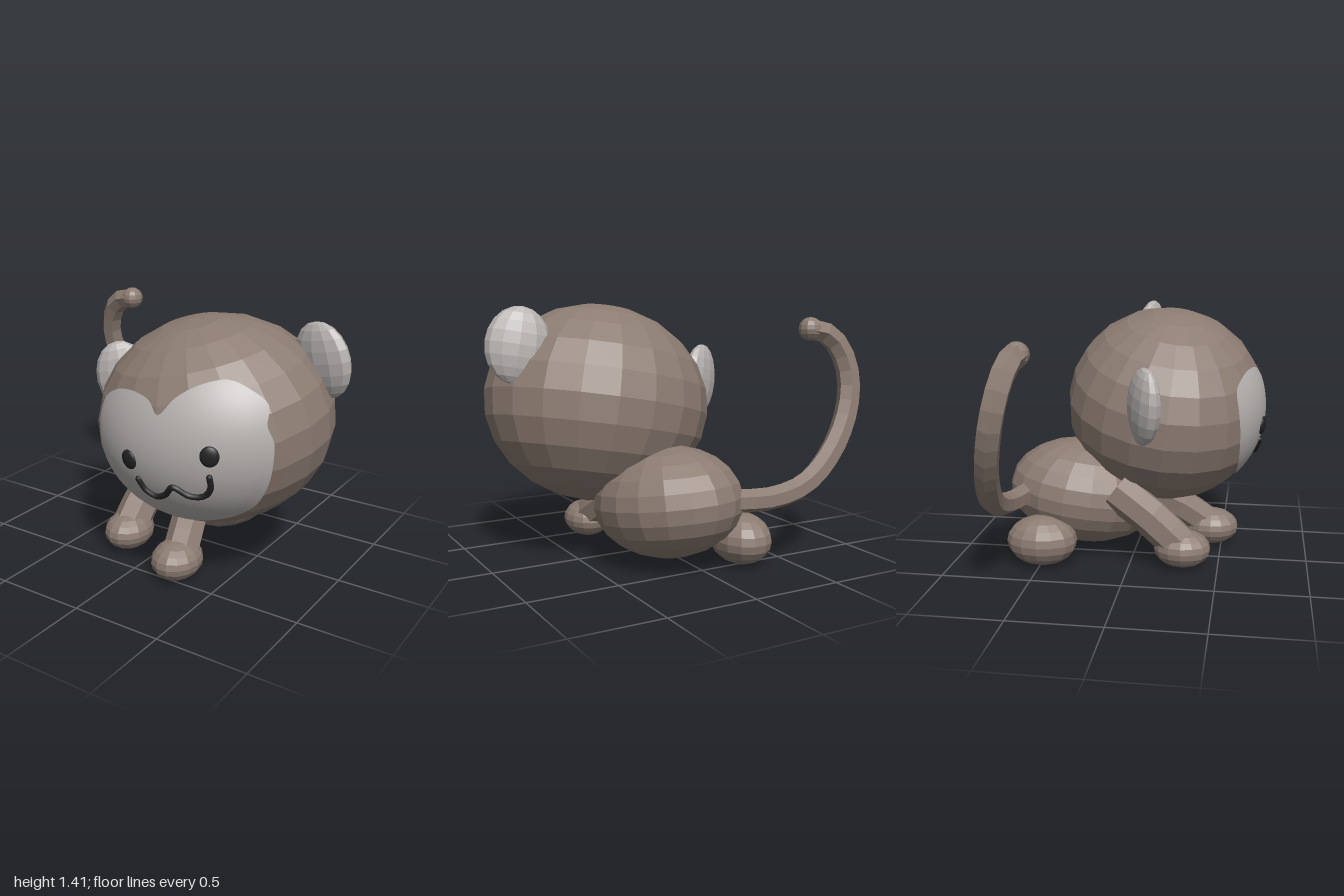
import * as THREE from 'three';

const material = (name, color) => {
  const m = new THREE.MeshStandardMaterial({ color });
  m.name = name;
  return m;
};

export function createModel() {
  const group = new THREE.Group();
  const fur = material('brown fur', 0x8c7c72);
  const skin = material('pale grey skin', 0xb4b0ae);
  const black = material('black', 0x222222);
  const rad = THREE.MathUtils.degToRad;
  const v = (p) => new THREE.Vector3(...p);

  // Faceted copy of a geometry
  const flat = (geometry) => {
    const g = geometry.toNonIndexed();
    g.computeVertexNormals();
    return g;
  };
  const add = (name, geometry, mat) => {
    const mesh = new THREE.Mesh(geometry, mat);
    mesh.name = name;
    group.add(mesh);
    return mesh;
  };
  // Faceted ellipsoid; rotation in degrees, applied roll, pitch, yaw
  const ball = (name, mat, pos, radii, rot = [0, 0, 0], w = 14, h = 10) => {
    const mesh = add(name, flat(new THREE.SphereGeometry(1, w, h).scale(...radii)), mat);
    mesh.position.set(...pos);
    mesh.rotation.set(rad(rot[0]), rad(rot[1]), rad(rot[2]), 'YXZ');
    return mesh;
  };
  const limb = (name, points, radius, steps, sides) =>
    add(name, flat(new THREE.TubeGeometry(new THREE.CatmullRomCurve3(points.map(v)), steps, radius, sides)), fur);

  // Head and body
  const headPos = [0.3, 0.848, 0.155];
  const headRadii = [0.65, 0.555, 0.585];
  const head = ball('head', fur, headPos, headRadii, [7, 6, 12], 20, 12);
  ball('body', fur, [0.1, 0.35, -0.3], [0.37, 0.305, 0.45], [9, 14, 0], 18, 12);

  // Ears
  ball('rightEar', skin, [-0.345, 0.95, 0.1], [0.16, 0.215, 0.07], [0, 32, 12], 12, 10);
  ball('leftEar', skin, [0.83, 1.203, -0.015], [0.172, 0.205, 0.075], [8, -12, 10], 12, 10);

  // Front legs and feet
  limb('leftFrontLeg', [[0.25, 0.12, 0.42], [0.2, 0.25, 0.25], [0.12, 0.36, 0.05]], 0.1, 4, 7);
  limb('rightFrontLeg', [[-0.18, 0.12, 0.3], [-0.18, 0.28, 0.13], [-0.15, 0.43, -0.08]], 0.11, 4, 7);
  ball('leftFrontFoot', fur, [0.245, 0.107, 0.44], [0.135, 0.107, 0.16]);
  ball('rightFrontFoot', fur, [-0.18, 0.112, 0.3], [0.133, 0.107, 0.16]);
  ball('rightBackFoot', fur, [-0.25, 0.145, -0.49], [0.157, 0.142, 0.2]);

  // Curled tail with a rounded tip
  limb('tail', [
    [-0.05, 0.39, -0.58], [-0.35, 0.39, -0.65], [-0.56, 0.455, -0.665], [-0.77, 0.63, -0.63],
    [-0.9, 0.84, -0.58], [-0.932, 1.02, -0.54], [-0.88, 1.18, -0.505], [-0.79, 1.255, -0.485], [-0.71, 1.27, -0.475],
  ], 0.064, 18, 6);
  ball('tailTip', fur, [-0.71, 1.27, -0.475], [0.066, 0.066, 0.066], [0, 0, 0], 10, 8);

  // Point on the front of the head, slightly enlarged by k, above (x, y)
  const inverse = new THREE.Matrix4().makeRotationFromEuler(head.rotation).transpose();
  const toUnit = (p, k) => p.applyMatrix4(inverse).divide(v(headRadii)).divideScalar(k);
  const onHead = (x, y, k = 1) => {
    const a = toUnit(new THREE.Vector3(x - headPos[0], y - headPos[1], 0), k);
    const d = toUnit(new THREE.Vector3(0, 0, 1), k);
    const A = d.lengthSq(), B = a.dot(d), C = a.lengthSq() - 1;
    const t = (-B + Math.sqrt(Math.max(0, B * B - A * C))) / A;
    return new THREE.Vector3(x, y, headPos[2] + t);
  };

  // Smooth heart-shaped face, built in rings that follow the head
  const outline = new THREE.CatmullRomCurve3([
    [-0.125, 0.81], [-0.125, 0.915], [-0.1, 1.005], [0.01, 1.075], [0.14, 1.095], [0.25, 1.075],
    [0.315, 1.02], [0.39, 1.11], [0.49, 1.175], [0.6, 1.2], [0.7, 1.16], [0.785, 1.09],
    [0.8, 0.995], [0.83, 0.915], [0.825, 0.78], [0.79, 0.66], [0.7, 0.525], [0.54, 0.435],
    [0.355, 0.4], [0.17, 0.445], [0.01, 0.54], [-0.09, 0.675],
  ].map(([x, y]) => new THREE.Vector3(x, y, 0)), true);
  const count = 88, rings = 16;
  const mid = [0.33, 0.78];
  const positions = onHead(...mid, 1.005).toArray();
  const index = [];
  for (let r = 1; r <= rings; r++) {
    for (let i = 0; i < count; i++) {
      const p = outline.getPoint(i / count);
      const t = r / rings;
      positions.push(...onHead(mid[0] + (p.x - mid[0]) * t, mid[1] + (p.y - mid[1]) * t, 1.005).toArray());
      const j = (i + 1) % count;
      const a = 1 + (r - 1) * count + i, b = 1 + (r - 1) * count + j;
      if (r === 1) index.push(0, b, a);
      else index.push(a - count, b, a, a - count, b - count, b);
    }
  }
  const face = new THREE.BufferGeometry();
  face.setAttribute('position', new THREE.Float32BufferAttribute(positions, 3));
  face.setIndex(index);
  face.computeVertexNormals();
  add('face', face, skin);

  // Eyes, flattened against the face
  for (const [name, x, y] of [['rightEye', 0.15, 0.76], ['leftEye', 0.59, 0.855]]) {
    const p = onHead(x, y, 1.005);
    const e = 0.01;
    const normal = onHead(x + e, y).sub(onHead(x - e, y)).cross(onHead(x, y + e).sub(onHead(x, y - e))).normalize();
    const eye = add(name, new THREE.SphereGeometry(1, 20, 14).scale(0.048, 0.053, 0.02), black);
    eye.position.copy(p);
    eye.quaternion.setFromUnitVectors(new THREE.Vector3(0, 0, 1), normal);
  }

  // Wavy mouth with rounded ends
  const mouth = [
    [0.198, 0.663], [0.23, 0.604], [0.29, 0.578], [0.345, 0.605], [0.4, 0.663],
    [0.475, 0.622], [0.545, 0.63], [0.583, 0.68], [0.587, 0.745],
  ].map(([x, y]) => onHead(x, y, 1.012));
  add('mouth', new THREE.TubeGeometry(new THREE.CatmullRomCurve3(mouth), 60, 0.016, 8), black);
  for (const end of [mouth[0], mouth[mouth.length - 1]]) {
    add('mouthEnd', new THREE.SphereGeometry(0.016, 10, 8), black).position.copy(end);
  }

  return group;
}
